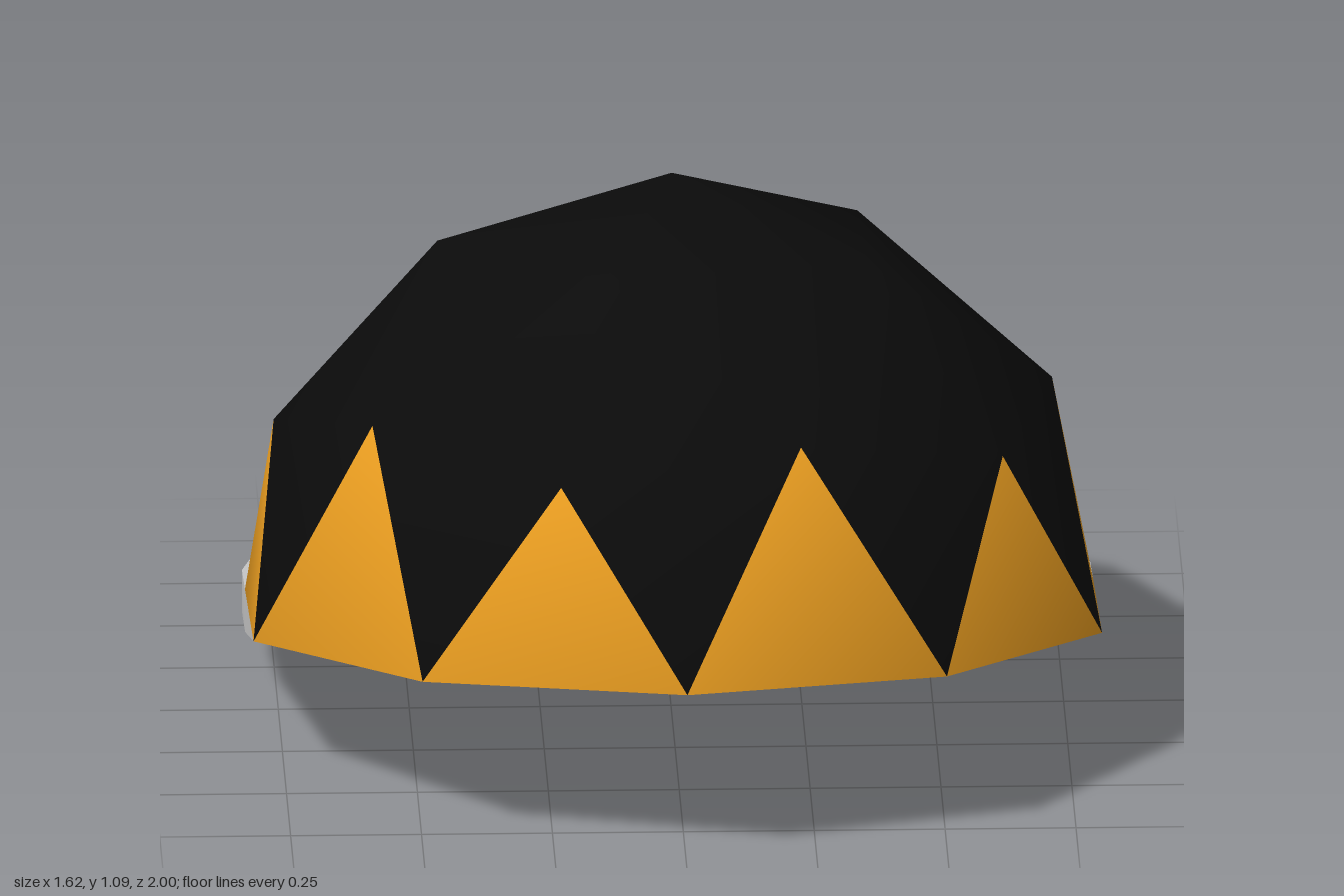
import * as THREE from 'three';
import { toCreasedNormals } from 'three/addons/utils/BufferGeometryUtils.js';

const R = 0.852;      // dome radius
const TILT = 0.138;   // rim slopes down towards the back
const THICK = 0.083;  // brim thickness

const material = (color) => new THREE.MeshStandardMaterial({ color, side: THREE.DoubleSide });

// Point on the dome: heading from the front, elevation above the rim (degrees)
function onDome(heading, elevation) {
  const a = THREE.MathUtils.degToRad(heading);
  const e = THREE.MathUtils.degToRad(elevation);
  return new THREE.Vector3(Math.sin(a) * Math.cos(e), Math.sin(e), Math.cos(a) * Math.cos(e)).multiplyScalar(R);
}

function meshOf(name, points, mat, smooth) {
  const geo = new THREE.BufferGeometry().setFromPoints(points);
  if (smooth) {
    const normals = points.flatMap((p) => p.clone().normalize().toArray());
    geo.setAttribute('normal', new THREE.Float32BufferAttribute(normals, 3));
  } else geo.computeVertexNormals();
  const mesh = new THREE.Mesh(geo, mat);
  mesh.name = name;
  return mesh;
}

export function createModel() {
  const model = new THREE.Group();
  model.name = 'cap';
  const grey = material(0xcccccc);

  // Faceted dome: crown point, upper ring, two staggered rings, ten-sided rim
  const top = onDome(0, 90);
  const upper = (k) => onDome(72 * k - 18, 58.28);
  const low = (k) => onDome(72 * k - 18, 26.57);
  const mid = (k) => onDome(72 * k + 18, 31.72);
  const rim = (j) => onDome(36 * j, 0);
  const crown = [];
  const spikes = [];
  for (let k = 0; k < 5; k++) {
    crown.push(
      top, upper(k), upper(k + 1),
      upper(k), mid(k), upper(k + 1),
      upper(k), low(k), mid(k),
      upper(k), mid(k - 1), low(k),
      low(k), rim(2 * k), mid(k),
      mid(k), rim(2 * k + 1), low(k + 1),
    );
    spikes.push(
      low(k), rim(2 * k - 1), rim(2 * k),
      mid(k), rim(2 * k), rim(2 * k + 1),
    );
  }
  model.add(meshOf('crown', crown, material(0x0b0b0b), true));
  model.add(meshOf('rimTriangles', spikes, material(0xe89c20), true));

  // Brim: curved outer edge, inner edge follows the rim of the dome
  const half = [
    [0.81, -0.459], [0.78, -0.62], [0.74, -0.722], [0.67, -0.833], [0.6, -0.937],
    [0.52, -1.022], [0.43, -1.075], [0.24, -1.125], [0.1, -1.16],
  ];
  const mirrored = half.map(([x, z]) => [-x, z]).reverse();
  const sideX = rim(3).x;
  const sideZ = rim(3).z;
  const outline = new THREE.Shape();
  outline.moveTo(sideX, sideZ);
  outline.lineTo(...half[0]);
  outline.splineThru([...half.slice(1), [0, -1.167], ...mirrored].map(([x, z]) => new THREE.Vector2(x, z)));
  for (let j = 7; j >= 4; j--) outline.lineTo(rim(j).x, rim(j).z);
  outline.closePath();
  const brimGeo = new THREE.ExtrudeGeometry(outline, { depth: THICK, bevelEnabled: false, curveSegments: 3 });
  brimGeo.rotateX(Math.PI / 2);
  const brim = new THREE.Mesh(toCreasedNormals(brimGeo, 0.45), grey);
  brim.name = 'brim';
  model.add(brim);

  // Thin tapering flaps joining the brim to the rim on both sides
  for (const s of [1, -1]) {
    const flap = [
      new THREE.Vector3(s * sideX, 0, -sideZ),
      new THREE.Vector3(s * sideX, -THICK, sideZ),
      new THREE.Vector3(s * sideX, 0, sideZ),
    ];
    if (s < 0) flap.reverse();
    model.add(meshOf(s > 0 ? 'leftBrimFlap' : 'rightBrimFlap', flap, grey, false));
  }

  model.rotation.x = -TILT;
  model.position.set(0, 0.2476, 0.155);
  const root = new THREE.Group();
  root.add(model);
  return root;
}
